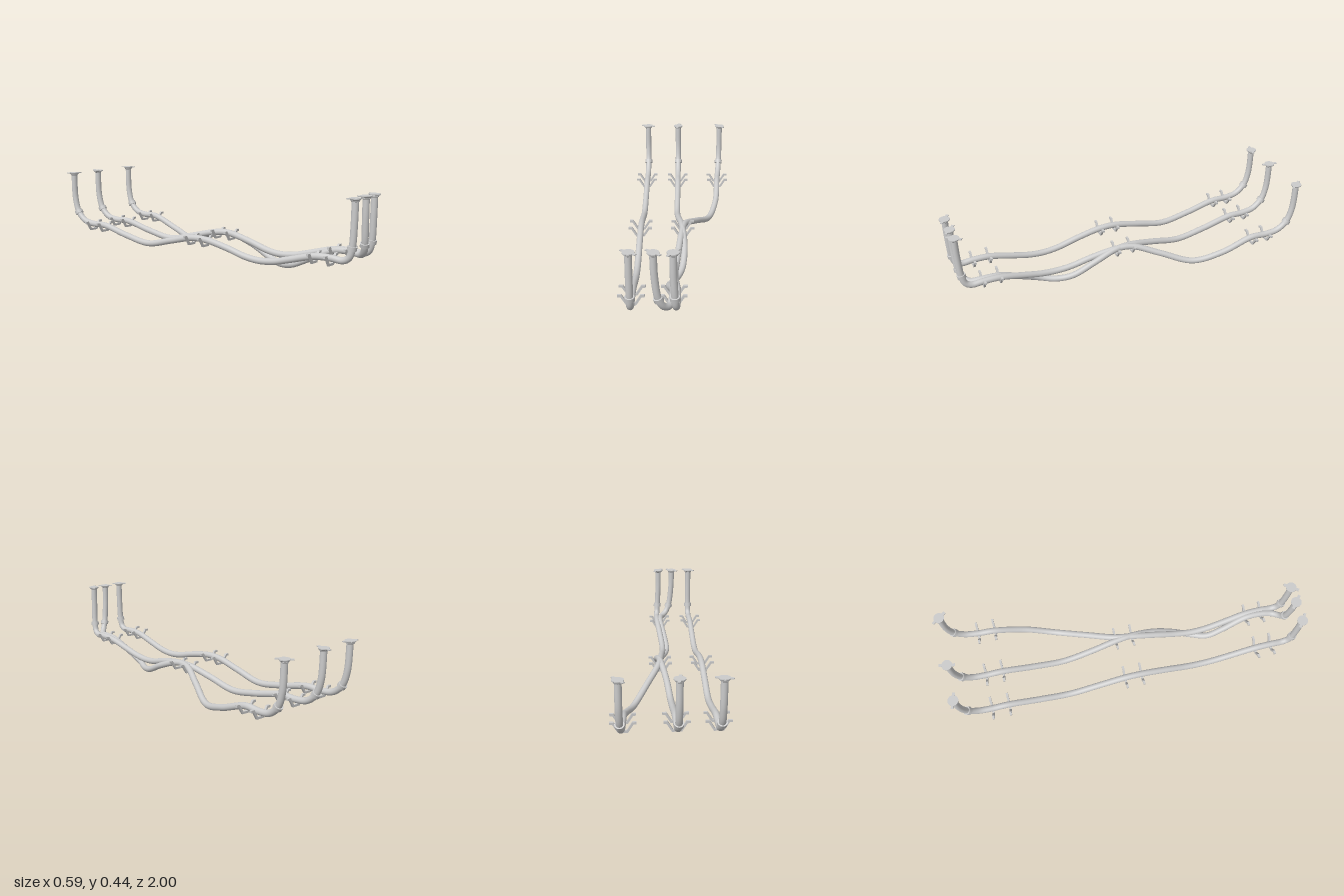
import * as THREE from 'three';
import { toCreasedNormals } from 'three/addons/utils/BufferGeometryUtils.js';

const R = 0.0175, TOP = 0.441, LEVEL = 0.138;
const material = new THREE.MeshStandardMaterial({ color: 0xcccccc });

// Side profile shared by every pipe: [y, z] on the risers, z only along the run
const FRONT_RISER = [[0.438, 0.957], [0.32, 0.955], [0.2, 0.947], [0.152, 0.932], [0.134, 0.9]];
const RUN = [0.84, 0.745, 0.6, 0.51, 0.42, 0.33, 0.21, 0.07, -0.03, -0.18, -0.35, -0.52, -0.7, -0.795];
const BACK_RISER = [[0.152, -0.87], [0.2, -0.924], [0.28, -0.95], [0.438, -0.957]];

// x at each station, depth of the front and back sag, and plan angle of the flange ears
const PIPES = [
  { name: 'straightPipe', x: Array(23).fill(-0.228), sag: [0.068, 0.068], ears: [-0.6, -0.25] },
  {
    name: 'loopingPipe', sag: [0.12, 0.068], ears: [-0.7, 1.4],
    x: [-0.117, -0.113, -0.097, -0.075, -0.048, -0.035, -0.033, -0.052, -0.056, -0.023, 0.008, 0.02,
      0.011, 0, -0.017, -0.027, -0.028, -0.028, -0.028, -0.028, -0.028, -0.028, -0.028],
  },
  {
    name: 'branchingPipe', sag: [0.068, 0.101], ears: [0.95, -0.95],
    x: [-0.027, -0.026, -0.02, -0.016, -0.013, -0.011, -0.012, -0.022, -0.027, -0.027, -0.02, -0.009,
      0.006, 0.022, 0.09, 0.168, 0.213, 0.226, 0.232, 0.238, 0.243, 0.246, 0.247],
  },
];

// Bracket centres: x, followed by the z stations
const BRACKETS = [
  [-0.23, [0.835, 0.742, 0.066, -0.03, -0.7, -0.797]],
  [-0.027, [0.835, 0.742]],
  [0.009, [0.066, -0.03]],
  [-0.029, [-0.7, -0.797]],
  [0.228, [-0.7, -0.797]],
];

function add(parent, name, geometry) {
  const mesh = new THREE.Mesh(geometry, material);
  mesh.name = name;
  parent.add(mesh);
  return mesh;
}

// Smooth hollow of the given depth between two supports
function hollow(z, from, to, depth) {
  const u = THREE.MathUtils.clamp((z - from) / (to - from), 0, 1);
  return depth * Math.abs(Math.sin(Math.PI * u)) ** 1.7;
}

function pipeCurve({ x, sag }) {
  const run = RUN.map(z => [LEVEL - hollow(z, 0.07, 0.78, sag[0]) - hollow(z, -0.7, -0.03, sag[1]), z]);
  const side = [...FRONT_RISER, ...run, ...BACK_RISER];
  return new THREE.CatmullRomCurve3(side.map(([y, z], i) => new THREE.Vector3(x[i], y, z)));
}

// Flared flange with a flat two-eared plate
function makeFlange(angle) {
  const flange = new THREE.Group();
  flange.name = 'flange';
  const profile = [[R, -0.018], [0.022, -0.014], [0.022, -0.011], [0.029, -0.005], [0.029, 0], [0, 0]];
  const lathe = new THREE.LatheGeometry(profile.map(([r, y]) => new THREE.Vector2(r, y)), 24);
  add(flange, 'flare', toCreasedNormals(lathe, 0.5));
  for (const side of [-1, 1]) {
    const ear = add(flange, 'ear', new THREE.BoxGeometry(0.022, 0.005, 0.015));
    ear.position.set(side * 0.033, -0.0025, 0);
  }
  flange.rotation.y = angle;
  return flange;
}

// Collar aligned with the pipe, found where the riser crosses its height
function addCollar(parent, curve, fromEnd) {
  let best = 0, error = Infinity;
  for (let i = 0; i <= 100; i++) {
    const t = fromEnd ? 1 - i / 400 : i / 400;
    const e = Math.abs(curve.getPointAt(t).y - 0.198);
    if (e < error) { error = e; best = t; }
  }
  const collar = add(parent, 'collar', new THREE.CylinderGeometry(0.0238, 0.0238, 0.021, 24));
  collar.position.copy(curve.getPointAt(best));
  collar.quaternion.setFromUnitVectors(new THREE.Vector3(0, 1, 0), curve.getTangentAt(best));
}

// Bent strip cradle: half outline mirrored about x = 0
function bracketGeometry() {
  const half = [[0.024, 0.102], [0.051, 0.145], [0.065, 0.145], [0.065, 0.157], [0.045, 0.157], [0.019, 0.114]];
  const outline = [...half, ...half.slice().reverse().map(([x, y]) => [-x, y])];
  const shape = new THREE.Shape(outline.map(([x, y]) => new THREE.Vector2(x, y)));
  return new THREE.ExtrudeGeometry(shape, { depth: 0.012, bevelEnabled: false }).translate(0, 0, -0.006);
}

export function createModel() {
  const model = new THREE.Group();
  model.name = 'pipeRun';

  for (const pipe of PIPES) {
    const group = new THREE.Group();
    group.name = pipe.name;
    const curve = pipeCurve(pipe);
    add(group, 'tube', new THREE.TubeGeometry(curve, 200, R, 20));
    for (const end of [0, 1]) {
      const flange = makeFlange(pipe.ears[end]);
      flange.position.copy(curve.getPoint(end)).setY(TOP);
      group.add(flange);
      addCollar(group, curve, end === 1);
    }
    model.add(group);
  }

  const cradle = bracketGeometry();
  for (const [x, stations] of BRACKETS) {
    for (const z of stations) add(model, 'bracket', cradle).position.set(x, 0, z);
  }
  return model;
}
